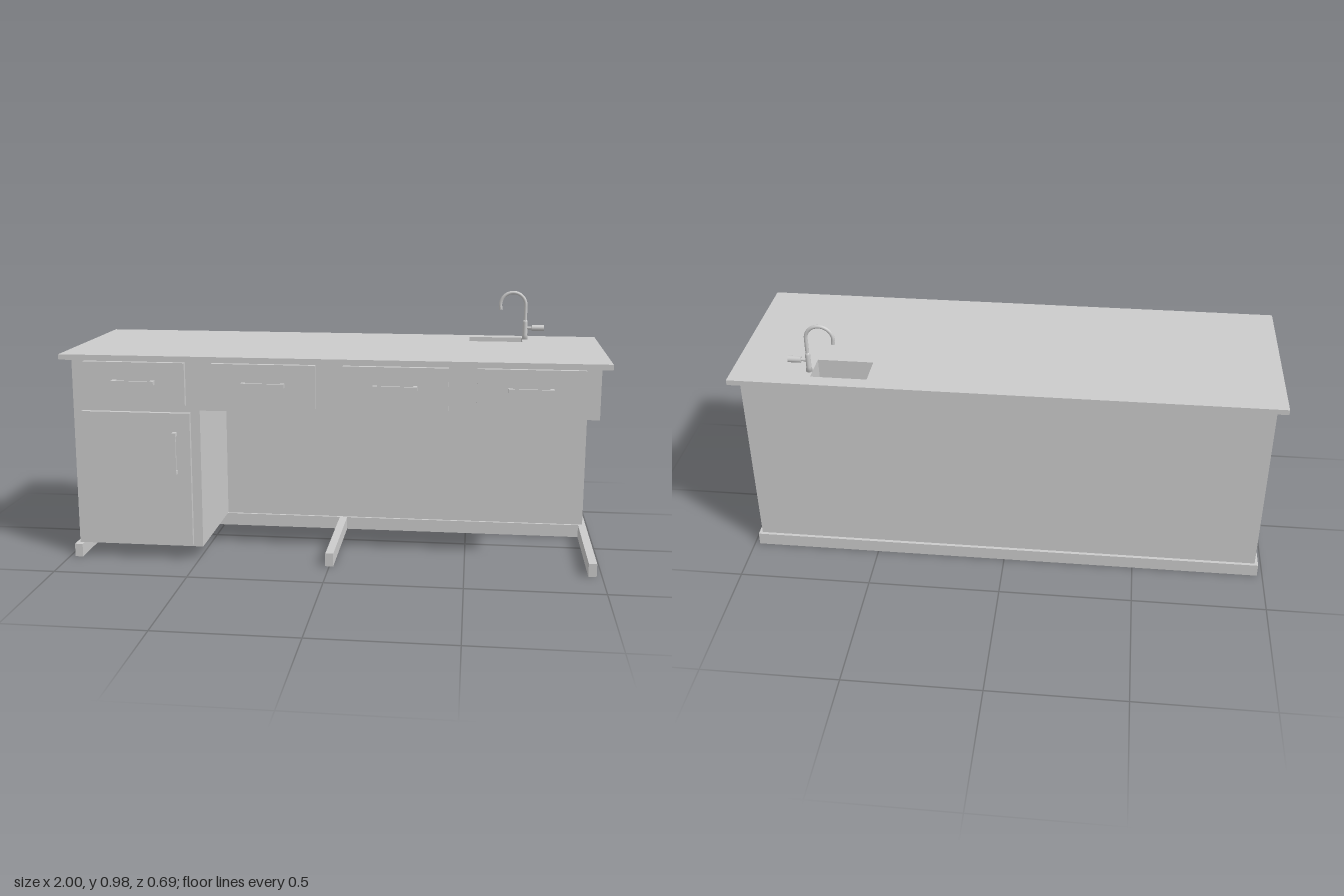
import * as THREE from 'three';

const material = new THREE.MeshStandardMaterial({ color: 0xcccccc });

// Adds a named mesh to its parent
function add(parent, name, geometry) {
  const mesh = new THREE.Mesh(geometry, material);
  mesh.name = name;
  parent.add(mesh);
  return mesh;
}

// Box given by its extents along each axis
function box(parent, name, [x0, x1], [y0, y1], [z0, z1]) {
  const mesh = add(parent, name, new THREE.BoxGeometry(x1 - x0, y1 - y0, z1 - z0));
  mesh.position.set((x0 + x1) / 2, (y0 + y1) / 2, (z0 + z1) / 2);
  return mesh;
}

const SINK = { x: [0.497, 0.705], z: [-0.29, -0.17] };

function rectangle(path, x0, x1, y0, y1) {
  path.moveTo(x0, y0);
  path.lineTo(x1, y0);
  path.lineTo(x1, y1);
  path.lineTo(x0, y1);
  path.closePath();
  return path;
}

// Horizontal slab pierced by the sink opening
function piercedSlab(parent, name, halfX, halfZ, y0, y1) {
  const shape = rectangle(new THREE.Shape(), -halfX, halfX, -halfZ, halfZ);
  shape.holes.push(rectangle(new THREE.Path(), ...SINK.x, -SINK.z[1], -SINK.z[0]));
  const geometry = new THREE.ExtrudeGeometry(shape, { depth: y1 - y0, bevelEnabled: false });
  geometry.rotateX(-Math.PI / 2);
  add(parent, name, geometry).position.y = y0;
}

// Bar handle on two posts, lying along x
function handle(name) {
  const group = new THREE.Group();
  group.name = name;
  box(group, 'handleBar', [-0.08, 0.08], [-0.0075, 0.0075], [0.017, 0.025]);
  for (const s of [-1, 1]) {
    const post = box(group, 'handlePost', [-0.0075, 0.0075], [-0.0075, 0.0075], [0, 0.018]);
    post.position.x = s * 0.0725;
  }
  return group;
}

function faucet() {
  const group = new THREE.Group();
  group.name = 'faucet';
  // Turned body tapering into the spout
  const profile = [[0, 0], [0.012, 0], [0.0095, 0.018], [0.0095, 0.068], [0.0075, 0.077], [0, 0.077]];
  add(group, 'faucetBody', new THREE.LatheGeometry(profile.map(p => new THREE.Vector2(...p)), 24));

  // Gooseneck spout: straight riser, then an arch
  const r = 0.05, rise = 0.136, points = [];
  for (let i = 0; i < 4; i++) points.push(new THREE.Vector3(0, 0.07 + (rise - 0.07) * i / 4, 0));
  for (let i = 0; i <= 12; i++) {
    const a = Math.PI * 1.08 * i / 12;
    points.push(new THREE.Vector3(r * (Math.cos(a) - 1), rise + r * Math.sin(a), 0));
  }
  add(group, 'spout', new THREE.TubeGeometry(new THREE.CatmullRomCurve3(points), 48, 0.0068, 14));
  const tip = points.at(-1);
  const dir = tip.clone().sub(points.at(-2)).normalize();
  const nozzle = add(group, 'nozzle', new THREE.CylinderGeometry(0.0075, 0.0075, 0.012, 16));
  nozzle.position.copy(tip);
  nozzle.quaternion.setFromUnitVectors(new THREE.Vector3(0, 1, 0), dir);

  // Side lever
  const stem = add(group, 'leverStem', new THREE.CylinderGeometry(0.006, 0.006, 0.03, 14));
  const knob = add(group, 'leverKnob', new THREE.CylinderGeometry(0.012, 0.012, 0.048, 20));
  for (const [part, x] of [[stem, 0.015], [knob, 0.05]]) {
    part.rotation.z = Math.PI / 2;
    part.position.set(x, 0.046, 0);
  }
  group.position.set(0.717, 0.785, -0.25);
  return group;
}

export function createModel() {
  const model = new THREE.Group();
  model.name = 'sinkDesk';

  // Worktop and the case below it, leaving a knee space open at one end
  piercedSlab(model, 'worktop', 1, 0.345, 0.765, 0.785);
  piercedSlab(model, 'drawerCase', 0.967, 0.3, 0.577, 0.765);
  box(model, 'backCase', [-0.967, 0.967], [0.05, 0.577], [-0.3, -0.15]);
  box(model, 'cupboard', [-0.967, -0.485], [0.05, 0.577], [-0.15, 0.3]);
  box(model, 'sinkFloor', SINK.x, [0.655, 0.665], SINK.z);

  // Plinth with three forward runners
  box(model, 'plinth', [-0.98, 0.98], [0, 0.05], [-0.312, -0.14]);
  for (const x of [-0.965, 0, 0.965])
    box(model, 'footRunner', [x - 0.015, x + 0.015], [0, 0.05], [-0.14, 0.325]);

  // Drawer fronts
  for (const x of [-0.727, -0.243, 0.239, 0.722]) {
    box(model, 'drawerFront', [x - 0.191, x + 0.191], [0.595, 0.756], [0.3, 0.318]);
    const pull = handle('drawerHandle');
    pull.position.set(x, 0.682, 0.318);
    model.add(pull);
  }

  // Cupboard door
  box(model, 'door', [-0.933, -0.52], [0.06, 0.568], [0.3, 0.318]);
  const pull = handle('doorHandle');
  pull.rotation.z = Math.PI / 2;
  pull.position.set(-0.577, 0.417, 0.318);
  model.add(pull);

  model.add(faucet());
  return model;
}
